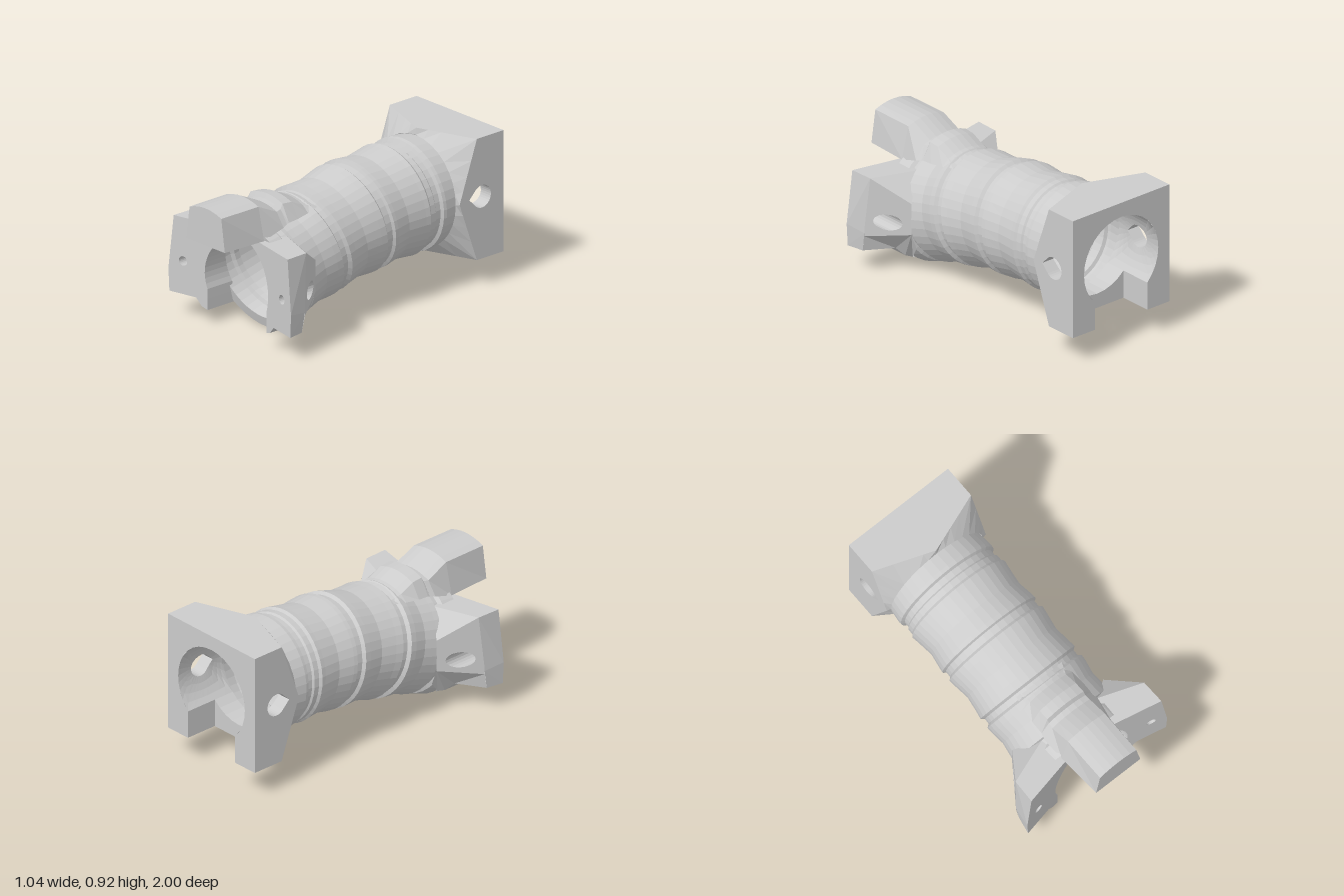
import * as THREE from 'three';

const mat = new THREE.MeshStandardMaterial({ color: 0xcccccc, flatShading: true, side: THREE.DoubleSide });
const N = 32;
const lerp = THREE.MathUtils.lerp;

function add(parent, name, geometry) {
  const m = new THREE.Mesh(geometry, mat);
  m.name = name;
  parent.add(m);
  return m;
}

// Skin between cross-section loops with equal point counts
function loft(loops, closed = true) {
  const n = loops[0].length, idx = [];
  for (let i = 0; i < loops.length - 1; i++) {
    for (let j = 0; j < (closed ? n : n - 1); j++) {
      const a = i * n + j, b = i * n + (j + 1) % n;
      idx.push(a, b, a + n, b, b + n, a + n);
    }
  }
  const g = new THREE.BufferGeometry();
  g.setAttribute('position', new THREE.Float32BufferAttribute(loops.flat(2), 3));
  g.setIndex(idx);
  g.computeVertexNormals();
  return g;
}

// Flat outline with holes, placed in space by a mapping rule
function sheet(outline, holes, map) {
  const v = pts => pts.map(p => new THREE.Vector2(p[0], p[1]));
  const s = new THREE.Shape(v(outline));
  holes.forEach(h => s.holes.push(new THREE.Path(v(h))));
  const g = new THREE.ShapeGeometry(s), p = g.attributes.position;
  for (let i = 0; i < p.count; i++) p.setXYZ(i, ...map(p.getX(i), p.getY(i)));
  g.computeVertexNormals();
  return g;
}

const ring = (fn, n = N) => Array.from({ length: n }, (_, i) => fn(i / n * Math.PI * 2));
const arc = (a0, a1, n, fn) => Array.from({ length: n + 1 }, (_, i) => fn(lerp(a0, a1, i / n)));

// Bent centre line: z, y, tilt in degrees
const path = [[-0.66, 0.545, 1], [-0.535, 0.542, 4.5], [-0.165, 0.52, 9.5], [0.168, 0.468, 15], [0.454, 0.397, 15], [0.62, 0.36, 15]];
function tubeRing(z, r) {
  let i = 0;
  while (i < path.length - 2 && z > path[i + 1][0]) i++;
  const [p, q] = [path[i], path[i + 1]], t = (z - p[0]) / (q[0] - p[0]);
  const y = lerp(p[1], q[1], t), tilt = THREE.MathUtils.degToRad(lerp(p[2], q[2], t));
  return ring(a => [r * Math.sin(a), y + r * Math.cos(a) * Math.cos(tilt), z + r * Math.cos(a) * Math.sin(tilt)], 40);
}

function makeDuct() {
  // z and outer radius along the ribbed wall
  const profile = [[-0.66, 0.338], [-0.575, 0.348], [-0.555, 0.345], [-0.545, 0.325], [-0.51, 0.325], [-0.5, 0.335], [-0.465, 0.335],
    [-0.45, 0.347], [-0.42, 0.342], [-0.3, 0.327], [-0.2, 0.343], [-0.175, 0.345], [-0.165, 0.328], [-0.125, 0.328], [-0.11, 0.345],
    [-0.07, 0.34], [0.03, 0.325], [0.13, 0.337], [0.175, 0.345], [0.19, 0.325], [0.225, 0.325], [0.24, 0.345], [0.28, 0.342],
    [0.36, 0.33], [0.44, 0.34], [0.475, 0.345], [0.485, 0.327], [0.52, 0.327], [0.535, 0.347], [0.62, 0.36]];
  const outer = profile.map(([z, r]) => tubeRing(z, r));
  const inner = profile.map(([z, r]) => tubeRing(z, r - 0.055)).reverse();
  inner[0] = tubeRing(0.62, 0.298);
  return loft([...outer, ...inner]);
}

// Square rear collar with bore, side holes and a slot below
function makeCollar() {
  const g = new THREE.Group();
  g.name = 'rearCollar';
  const cy = 0.555, w = 0.37, h = 0.375, lo = cy - h, hi = cy + h, R = 0.285, back = -1, shoulder = -0.79, tip = -0.655;
  const s = R * Math.SQRT1_2, q = Math.PI / 4;
  const bore = (a, z) => [R * Math.sin(a), cy + R * Math.cos(a), z];
  // teardrop pin hole as z, y
  const drop = ring(a => {
    const t = Math.abs(a > Math.PI ? a - 2 * Math.PI : a) / q;
    if (t >= 1) return [-0.83 + 0.07 * Math.cos(a), 0.565 + 0.07 * Math.sin(a)];
    return [-0.83 + 0.0495 * (2 - t), 0.565 + 0.0495 * t * (a > Math.PI ? -1 : 1)];
  });
  const sideOutline = [[back, lo], [shoulder, lo], [tip, cy], [shoulder, hi], [back, hi]];
  for (const k of [-1, 1]) {
    const side = k > 0 ? 'left' : 'right';
    add(g, side + 'CollarWall', sheet(sideOutline, [drop], (z, y) => [k * w, y, z]));
    const onBore = drop.map(([z, y]) => [Math.acos((y - cy) / R), z]);
    const frame = ring(a => {
      const c = Math.cos(a), d = Math.sin(a), m = Math.max(Math.abs(c), Math.abs(d));
      return [2 * q - d / m * q, -0.825 + c / m * 0.175];
    });
    const steps = [0, 0.25, 0.5, 0.75, 1].map(t => onBore.map((p, i) => {
      const [x, y, z] = bore(lerp(p[0], frame[i][0], t), lerp(p[1], frame[i][1], t));
      return [k * x, y, z];
    }));
    add(g, side + 'PinHole', loft([drop.map(([z, y]) => [k * w, y, z]), ...steps]));
    add(g, side + 'SlotWall', loft([[[k * s, lo, back], [k * s, lo, shoulder]], [[k * s, cy - s, back], [k * s, cy - s, shoulder]]], false));
  }
  add(g, 'collarTop', sheet([[-w, back], [w, back], [w, shoulder], [0, tip], [-w, shoulder]], [], (x, z) => [x, hi, z]));
  add(g, 'collarBottom', sheet([[-w, back], [-s, back], [-s, shoulder], [s, shoulder], [s, back], [w, back], [w, shoulder], [0, tip], [-w, shoulder]],
    [], (x, z) => [x, lo, z]));
  const rim = arc(-3 * q, 3 * q, 24, a => bore(a, back).slice(0, 2));
  add(g, 'collarBack', sheet([[-w, lo], [-s, lo], ...rim, [s, lo], [w, lo], [w, hi], [-w, hi]], [], (x, y) => [x, y, back]));
  add(g, 'slotEnd', sheet([[-s, lo], [s, lo], ...arc(3 * q, 5 * q, 8, a => bore(a, 0).slice(0, 2))], [], (x, y) => [x, y, shoulder]));
  add(g, 'boreTop', loft([back, -0.65].map(z => arc(-q, q, 8, a => bore(a, z))), false));
  add(g, 'boreBottom', loft([shoulder, -0.65].map(z => arc(3 * q, 5 * q, 8, a => bore(a, z))), false));
  // faceted shoulder from the square to the round duct
  const square = ring(a => {
    const c = Math.cos(a), d = Math.sin(a), m = Math.max(Math.abs(c), Math.abs(d));
    return [d / m * w, cy + c / m * h, tip + (shoulder - tip) * Math.min(Math.abs(c), Math.abs(d)) / m];
  });
  add(g, 'collarShoulder', loft([square, ring(a => [0.342 * Math.sin(a), 0.547 + 0.34 * Math.cos(a), -0.65])]));
  return g;
}

// One front mounting ear on the +x side
function makeEar() {
  const g = new THREE.Group();
  const frontZ = x => 0.70 + 0.21 * x, slopeZ = x => 0.68 + (x - 0.5) * 1.44;
  const hole = r => ring(a => [0.42 + r * Math.cos(a), 0.365 + r * Math.sin(a)], 20);
  const rim = [[0.25, 0.1], [0.25, 0.17], ...arc(-0.38, Math.PI / 2, 16, a => [0.27 * Math.cos(a), 0.33 + 0.27 * Math.sin(a)])];
  const low = [[0.515, 0.16], [0.33, 0.16], [0.29, 0.115], [0.25, 0.1]];
  add(g, 'earFront', sheet([[0, 0.635], [0.485, 0.635], [0.522, 0.3], ...low, ...rim.slice(1)], [hole(0.029)], (x, y) => [x, y, frontZ(x)]));
  add(g, 'mouthWall', loft([rim.map(([x, y]) => [x, y, frontZ(x)]), rim.map(([x, y]) => [x, y, 0.5 + 0.255 * y])], false));
  // sloped rear face with the wide end of the bolt hole
  add(g, 'earRear', sheet([[0.34, 0.3], [0.5, 0.26], [0.5, 0.3], [0.48, 0.635], [0.34, 0.5]], [hole(0.05)], (x, y) => [x, y, slopeZ(x)]));
  add(g, 'boltHole', loft([
    hole(0.029).map(([x, y]) => [x, y, frontZ(x)]), hole(0.029).map(([x, y]) => [x, y, 0.72]),
    hole(0.05).map(([x, y]) => [x, y, 0.72]), hole(0.05).map(([x, y]) => [x, y, slopeZ(x)])]));
  const T = [0.48, 0.635, slopeZ(0.48)], A = [0.34, 0.5, 0.45], B = [0.34, 0.3, 0.45], L = [0.495, 0.16, 0.7];
  const outerEdge = [[0.485, 0.635], [0.522, 0.3], [0.515, 0.16]].map(([x, y]) => [x, y, frontZ(x)]);
  add(g, 'earSide', loft([outerEdge, [T, [0.5, 0.28, 0.68], L]], false));
  add(g, 'earTop', loft([[[0, 0.635, 0.7], outerEdge[0]], [[0, 0.635, 0.69], T], [[0.2, 0.635, 0.55], A]], false));
  const lowBack = [L, [0.33, 0.16, 0.6], [0.29, 0.115, 0.56], [0.25, 0.1, 0.54]];
  add(g, 'earBottom', loft([low.map(([x, y]) => [x, y, frontZ(x)]), lowBack, [[0.5, 0.26, 0.68], B, B, [0.3, 0.2, 0.45]]], false));
  return g;
}

// Top tongue: z, bottom y, top y, bottom half width, top half width
function makeTongue() {
  const rows = [[0.28, 0.735, 0.77, 0.17, 0.13], [0.36, 0.72, 0.785, 0.18, 0.135], [0.45, 0.71, 0.828, 0.19, 0.135], [0.52, 0.705, 0.835, 0.19, 0.135],
    [0.535, 0.7, 0.805, 0.19, 0.135], [0.57, 0.69, 0.8, 0.2, 0.14], [0.71, 0.64, 0.866, 0.185, 0.137], [1, 0.637, 0.867, 0.165, 0.135]];
  const loops = rows.map(([z, lo, hi, bw, tw]) => [[-bw, lo, z], ...arc(-1, 1, 6, t => [t * tw, hi - 0.027 * t * t, z]), [bw, lo, z]]);
  const cap = loops[loops.length - 1];
  return [loft(loops), sheet(cap, [], (x, y) => [x, y, 1])];
}

export function createModel() {
  const model = new THREE.Group();
  model.name = 'ribbedDuct';
  add(model, 'ductTube', makeDuct());
  model.add(makeCollar());
  for (const k of [1, -1]) {
    const ear = makeEar();
    ear.name = k > 0 ? 'leftEar' : 'rightEar';
    ear.scale.x = k;
    model.add(ear);
  }
  const [body, end] = makeTongue();
  add(model, 'topTongue', body);
  add(model, 'tongueEnd', end);
  return model;
}
